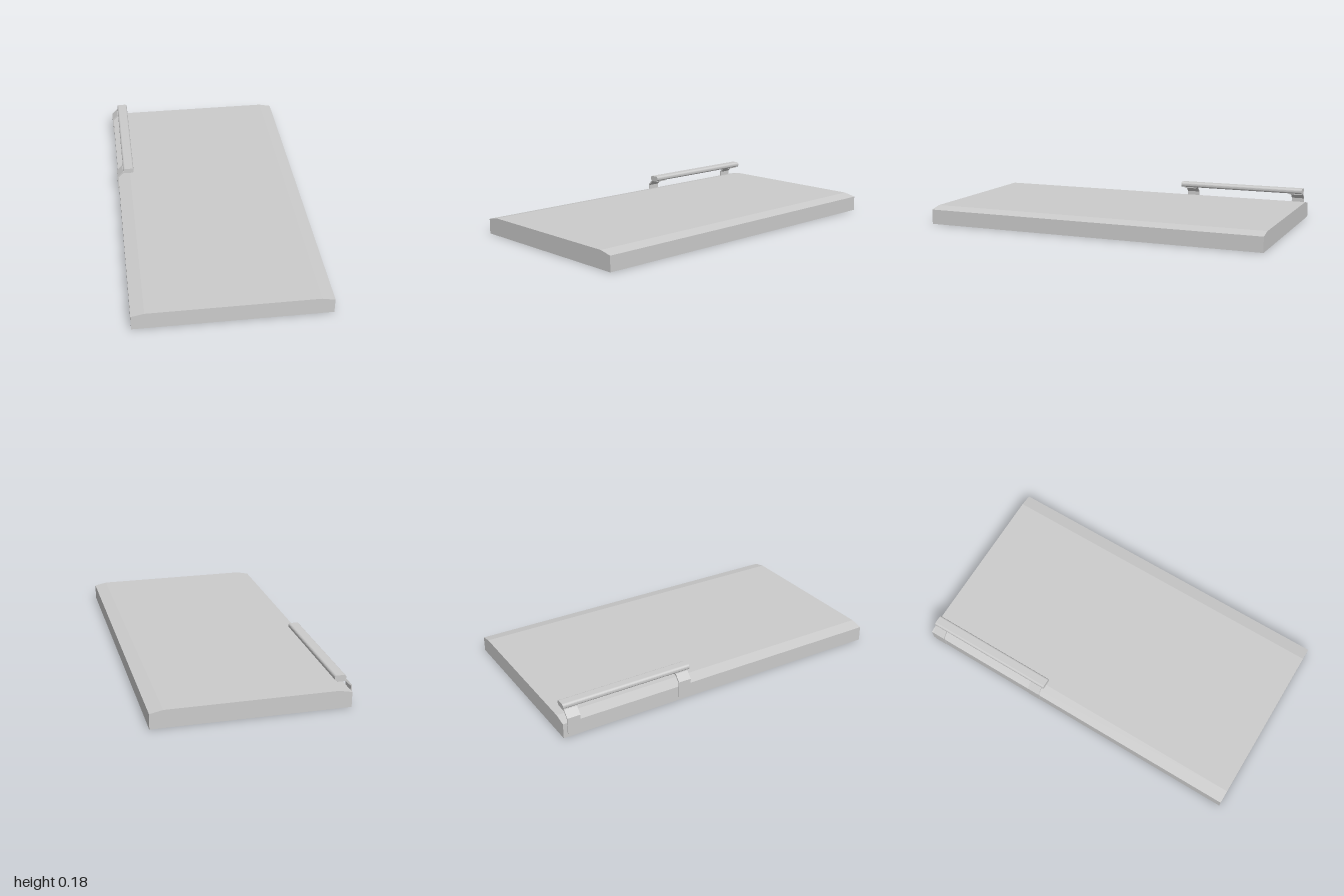
import * as THREE from 'three';

const material = new THREE.MeshStandardMaterial({ color: 0xcccccc, flatShading: true });

// Extrudes an x/y outline along z between two depths
function prism(name, shape, zMin, zMax) {
  const geometry = new THREE.ExtrudeGeometry(shape, {
    depth: zMax - zMin, bevelEnabled: false, curveSegments: 4,
  });
  geometry.translate(0, 0, zMin);
  const mesh = new THREE.Mesh(geometry, material);
  mesh.name = name;
  return mesh;
}

const outline = (points) => new THREE.Shape(points.map(([x, y]) => new THREE.Vector2(x, y)));

// Rectangle with rounded corners
function roundedRect(x0, y0, x1, y1, r) {
  const s = new THREE.Shape();
  s.absarc(x1 - r, y0 + r, r, -Math.PI / 2, 0);
  s.absarc(x1 - r, y1 - r, r, 0, Math.PI / 2);
  s.absarc(x0 + r, y1 - r, r, Math.PI / 2, Math.PI);
  s.absarc(x0 + r, y0 + r, r, Math.PI, Math.PI * 1.5);
  s.closePath();
  return s;
}

export function createModel() {
  const model = new THREE.Group();
  model.name = 'slabWithSideRail';

  // Long slab with shallow sloping shoulders
  model.add(prism('slab', outline([
    [-0.537, 0], [0.541, 0], [0.541, 0.086], [0.468, 0.101], [-0.464, 0.101], [-0.537, 0.086],
  ]), -1, 1));

  // Bent strap brackets fixed to the right edge
  const strap = outline([
    [-0.543, 0.02], [-0.536, 0.02], [-0.536, 0.111], [-0.505, 0.142], [-0.463, 0.142],
    [-0.463, 0.151], [-0.508, 0.151], [-0.543, 0.115],
  ]);
  [['rearBracket', -0.976], ['frontBracket', -0.301]].forEach(([name, z]) => {
    model.add(prism(name, strap, z, z + 0.075));
  });

  // Rounded rail resting on the brackets
  model.add(prism('rail', roundedRect(-0.506, 0.15, -0.443, 0.18, 0.0125), -0.98, -0.212));

  return model;
}
